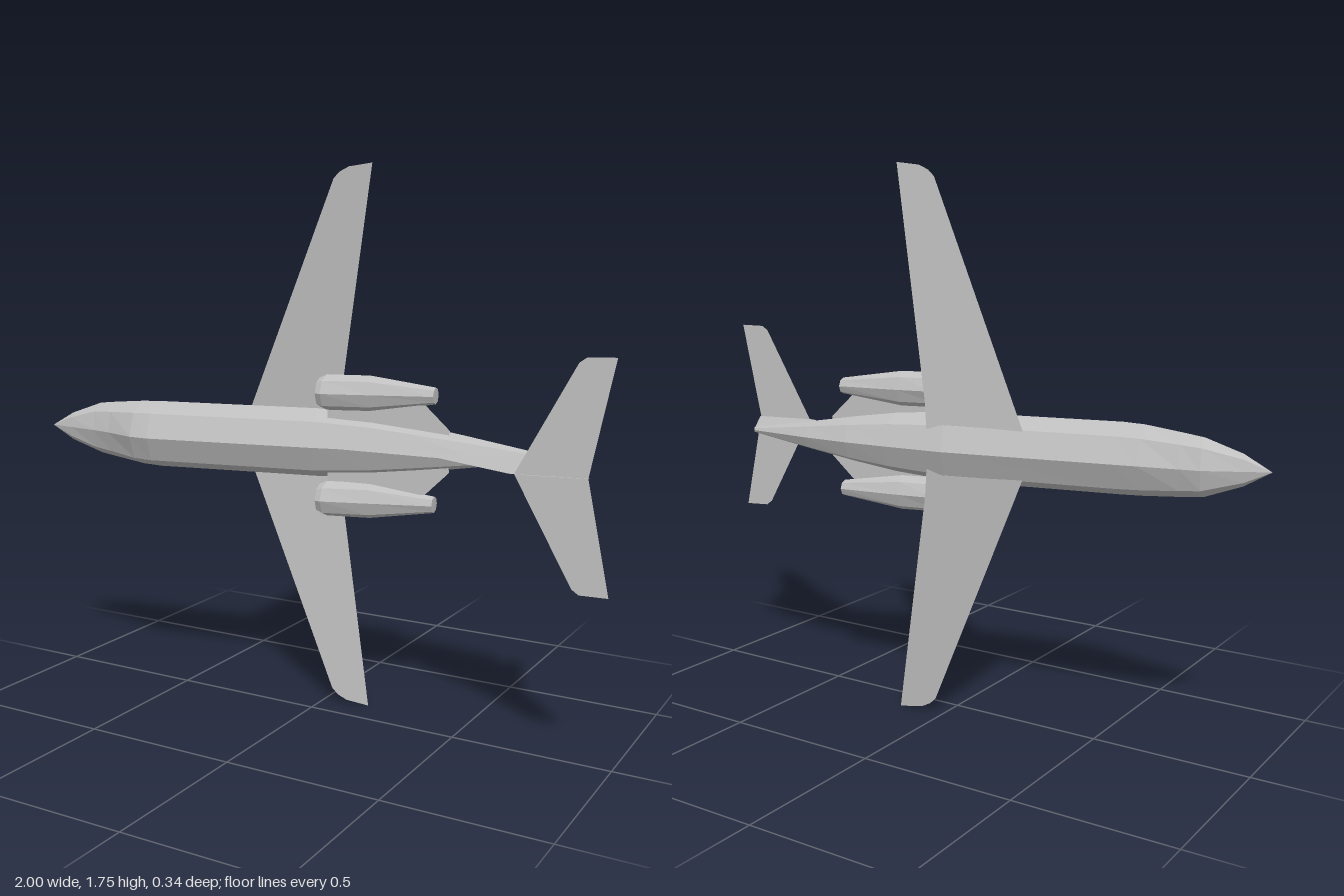
import * as THREE from 'three';

const grey = new THREE.MeshStandardMaterial({ color: 0xbfbfbf, flatShading: true, side: THREE.DoubleSide });
grey.name = 'plain grey';

function part(name, geometry) {
  const mesh = new THREE.Mesh(geometry, grey);
  mesh.name = name;
  return mesh;
}

// Eight-sided hull through rings given as [topX, topZ, bottomX, bottomZ, halfWidth]
function hull(rings, sides = 8) {
  const points = rings.map(([xt, zt, xb, zb, w]) => Array.from({ length: sides }, (_, j) => {
    const a = (j / sides) * Math.PI * 2, c = Math.cos(a);
    return new THREE.Vector3((xt + xb + (xt - xb) * c) / 2, w * Math.sin(a), (zt + zb + (zt - zb) * c) / 2);
  }));
  const out = [];
  const tri = (a, b, c) => {
    if (new THREE.Triangle(a, b, c).getArea() > 1e-8) out.push(a, b, c);
  };
  for (let i = 0; i < rings.length - 1; i++) {
    for (let j = 0; j < sides; j++) {
      const k = (j + 1) % sides;
      const [p, q] = [points[i], points[i + 1]];
      tri(p[j], q[j], p[k]);
      tri(p[k], q[j], q[k]);
    }
  }
  const g = new THREE.BufferGeometry().setFromPoints(out);
  g.computeVertexNormals();
  return g;
}

// Thin plate from a 2D outline, each corner placed in space by a rule
function sheet(outline, place) {
  const g = new THREE.ShapeGeometry(new THREE.Shape(outline.map(([u, v]) => new THREE.Vector2(u, v))));
  const pos = g.attributes.position;
  for (let i = 0; i < pos.count; i++) pos.setXYZ(i, ...place(pos.getX(i), pos.getY(i)));
  g.computeVertexNormals();
  return g;
}

export function createModel() {
  const plane = new THREE.Group();
  plane.name = 'jet';
  plane.position.y = 0.875;

  // Fuselage, nose at -x and spine towards +z
  plane.add(part('fuselage', hull([
    [-1, 0.08, -1, 0.08, 0],
    [-0.91, 0.092, -0.93, 0.045, 0.047],
    [-0.80, 0.107, -0.82, -0.01, 0.087],
    [-0.72, 0.125, -0.76, -0.022, 0.095],
    [-0.60, 0.163, -0.64, -0.045, 0.107],
    [-0.53, 0.165, -0.57, -0.058, 0.11],
    [0.03, 0.055, -0.04, -0.158, 0.11],
    [0.20, 0.013, 0.165, -0.17, 0.095],
    [0.33, -0.02, 0.32, -0.175, 0.075],
    [0.50, -0.062, 0.485, -0.17, 0.048],
    [0.75, -0.125, 0.73, -0.146, 0.008],
    [0.74, -0.135, 0.74, -0.135, 0],
  ])));

  // Tail fin with its forward fillet
  plane.add(part('tailFin', sheet(
    [[0.10, 0.035], [0.16, 0.033], [0.45, 0.025], [0.72, 0.153], [0.78, 0.15], [0.94, 0.117], [0.75, -0.125], [0.5, -0.08]],
    (x, z) => [x, 0, z])));

  for (const [side, s] of [['upper', 1], ['lower', -1]]) {
    // Swept wing with slight dihedral
    plane.add(part(side + 'Wing', sheet(
      [[-0.316, 0], [0.03, 0.83], [0.05, 0.85], [0.08, 0.865], [0.155, 0.875], [0.035, 0.15], [0.02, 0]],
      (x, y) => [x, s * y, -0.08 - 0.18 * (x + 0.27) + 0.068 * (y - 0.11)])));

    // Tailplane half
    plane.add(part(side + 'Tailplane', sheet(
      [[0.735, 0], [0.90, 0.315], [0.92, 0.33], [1.0, 0.332], [0.935, 0]],
      (x, y) => [x, s * y, 0.15 - 0.18 * (x - 0.74)])));

    // Engine pod
    const engine = part(side + 'Engine', hull([
      [0.028, 0, 0.028, 0, 0],
      [0.035, 0.042, 0.018, -0.05, 0.045],
      [0.055, 0.046, 0.045, -0.068, 0.056],
      [0.20, 0.0, 0.17, -0.09, 0.056],
      [0.39, -0.062, 0.385, -0.115, 0.026],
      [0.388, -0.088, 0.388, -0.088, 0],
    ]));
    engine.position.y = s * 0.17;
    plane.add(engine);

    // Engine pylon
    plane.add(part(side + 'Pylon', sheet(
      [[0.05, 0.06], [0.05, 0.14], [0.36, 0.14], [0.40, 0.1], [0.435, 0.065], [0.43, 0.03]],
      (x, y) => [x, s * y, -0.01 - 0.2 * (x - 0.03)])));
  }

  const model = new THREE.Group();
  model.name = 'model';
  model.add(plane);
  return model;
}
